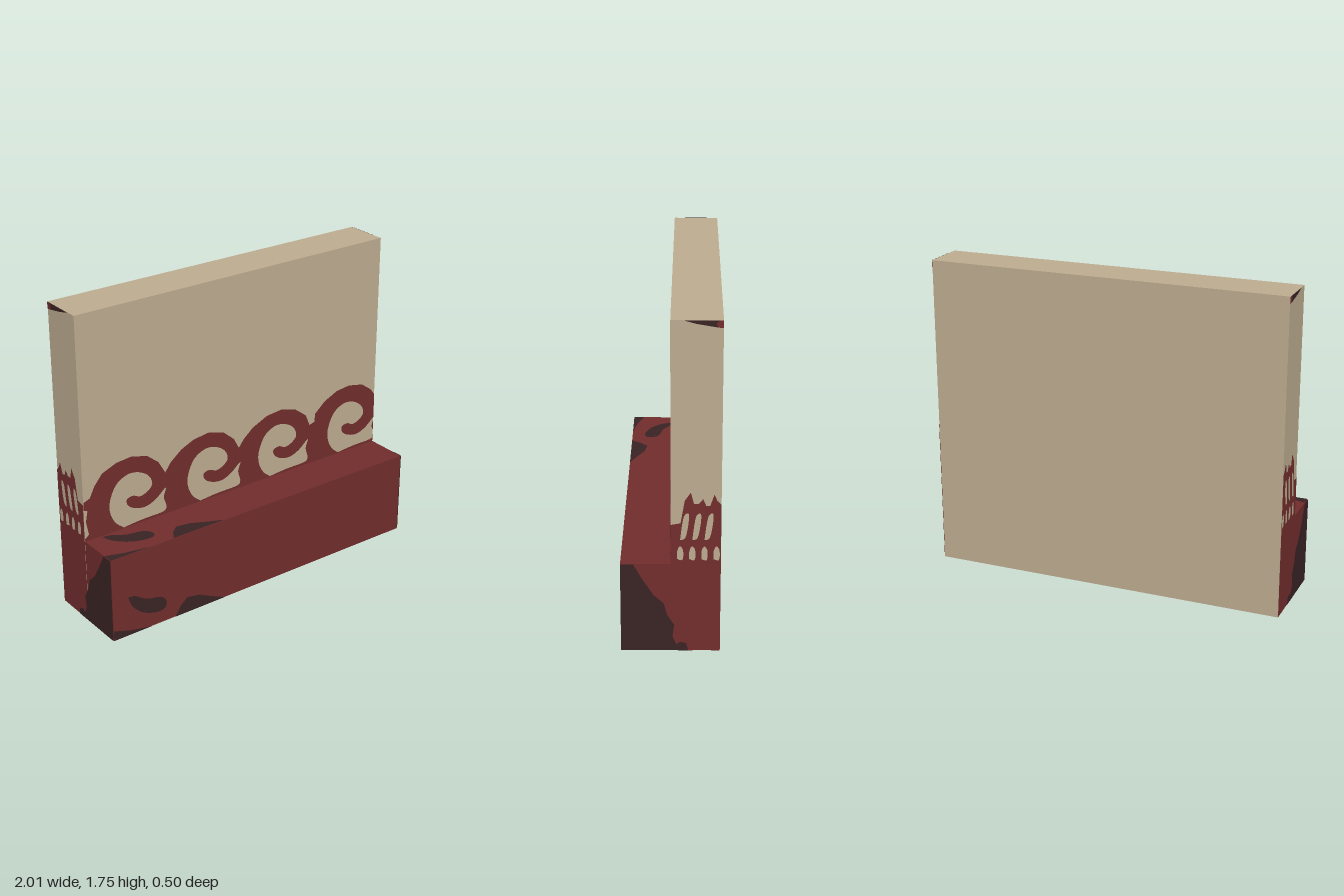
import * as THREE from 'three';

const V = (pts) => pts.map(([x, y]) => new THREE.Vector2(x, y));

// Smooth closed loop through a few points
function loop(pts, n = 60) {
  const p = V(pts);
  return new THREE.SplineCurve([...p, p[0]]).getPoints(n);
}

// Shape with straight-sided outline and optional hole outlines
function shapeOf(points, holes = []) {
  const s = new THREE.Shape(points);
  holes.forEach((h) => s.holes.push(new THREE.Path(h)));
  return new THREE.ShapeGeometry(s);
}

export function createModel() {
  const model = new THREE.Group();
  const paint = (name, color, side = THREE.FrontSide) => {
    const m = new THREE.MeshStandardMaterial({ color, side });
    m.name = name;
    return m;
  };
  const plaster = paint('beige plaster', 0xbdac90);
  const red = paint('red paint', 0x722d2d, THREE.DoubleSide);
  const dark = paint('dark stain', 0x3a2324, THREE.DoubleSide);

  const add = (name, geo, mat, x = 0, y = 0, z = 0) => {
    const mesh = new THREE.Mesh(geo, mat);
    mesh.name = name;
    mesh.position.set(x, y, z);
    model.add(mesh);
    return mesh;
  };

  // Wall slab and the ledge in front of it (ledge underside is plaster)
  add('wall', new THREE.BoxGeometry(2, 1.75, 0.25), plaster, 0, 0.875, -0.125);
  add('ledge', new THREE.BoxGeometry(2, 0.485, 0.25),
    [red, red, red, plaster, red, red], 0, 0.2425, 0.125);

  // Wave frieze: scalloped crest line with four curled openings
  const crest = [
    [1, 0], [1, 0.79], [0.97, 0.83], [0.9, 0.88], [0.8, 0.9], [0.71, 0.89], [0.62, 0.85], [0.55, 0.79], [0.545, 0.74],
    [0.51, 0.73], [0.48, 0.8], [0.4, 0.86], [0.3, 0.885], [0.2, 0.875], [0.1, 0.83], [0.04, 0.78],
    [0.005, 0.735], [-0.03, 0.8], [-0.1, 0.86], [-0.2, 0.888], [-0.3, 0.875], [-0.38, 0.84], [-0.45, 0.785],
    [-0.487, 0.735], [-0.53, 0.81], [-0.6, 0.868], [-0.7, 0.893], [-0.79, 0.885], [-0.88, 0.85], [-0.93, 0.79],
    [-0.96, 0.73], [-1, 0.715], [-1, 0.67], [-0.978, 0.66], [-0.99, 0.6], [-0.975, 0.52], [-1, 0.5], [-1, 0],
  ];
  const curl = [
    [-0.06, 0.49], [-0.11, 0.535], [-0.14, 0.6], [-0.14, 0.67], [-0.1, 0.755], [-0.03, 0.795], [0.04, 0.79],
    [0.105, 0.75], [0.128, 0.695], [0.1, 0.66], [0.05, 0.643], [0.005, 0.66], [-0.035, 0.65], [-0.03, 0.615],
    [0.01, 0.585], [0.08, 0.57], [0.15, 0.595], [0.215, 0.645], [0.2, 0.59], [0.215, 0.53], [0.19, 0.503], [0.06, 0.5],
  ];
  const curls = [-0.7, -0.2, 0.285, 0.79].map((cx) =>
    loop(curl.map(([x, y]) => [x + cx, y]), 110).map((p) => p.setX(Math.min(p.x, 0.998))));
  const waves = shapeOf(V(crest), curls);
  add('waveFrieze', waves, red, 0, 0, 0.002);

  // The same frieze squeezed along the underside of the wall
  const under = add('undersideFrieze', waves, red, 0, -0.002, 0);
  under.scale.y = 1 / 7;
  under.rotation.x = -Math.PI / 2;

  // Dark stains, repeated on the front and the top of the ledge
  const stains = [
    shapeOf(loop([[-0.905, 0.232], [-0.86, 0.225], [-0.79, 0.182], [-0.7, 0.16], [-0.665, 0.12], [-0.68, 0.08],
      [-0.74, 0.078], [-0.82, 0.11], [-0.88, 0.17]])),
    shapeOf(V([[-0.61, 0], [-0.575, 0.055], [-0.53, 0.093], [-0.45, 0.08], [-0.38, 0.045], [-0.28, 0]])),
    shapeOf(V([[-1, 0], [-1, 0.06], [-0.9, 0.027], [-0.76, 0]])),
  ];
  stains.forEach((geo) => {
    add('frontStain', geo, dark, 0, 0, 0.252);
    add('ledgeTopStain', geo, dark, 0, 0.487, 0.25).rotation.x = -Math.PI / 2;
  });

  // Side paint, drawn with the horizontal axis running from front to back
  const comb = V([[0, 0], [0.25, 0], [0.25, 0.81], [0.23, 0.83], [0.215, 0.865], [0.195, 0.805], [0.175, 0.805],
    [0.16, 0.84], [0.14, 0.815], [0.115, 0.815], [0.1, 0.875], [0.07, 0.83], [0.05, 0.71], [0, 0.7]]);
  const gaps = [];
  for (let i = 0; i < 4; i++) {
    const u = 0.048 + i * 0.06;
    gaps.push(loop([[u - 0.015, 0.515], [u + 0.012, 0.51], [u + 0.015, 0.56], [u, 0.585], [u - 0.014, 0.56]], 20));
    if (i < 3) {
      gaps.push(loop([[u, 0.62], [u + 0.025, 0.63], [u + 0.04, 0.7], [u + 0.042, 0.76],
        [u + 0.02, 0.75], [u + 0.008, 0.69]], 24));
    }
  }
  const sidePaint = shapeOf(comb, gaps);
  const sideStain = shapeOf(V([[-0.25, 0], [0.09, 0], [0.08, 0.04], [0.05, 0.05], [0.03, 0.035], [0.01, 0.08],
    [0.02, 0.145], [-0.015, 0.2], [-0.035, 0.27], [-0.085, 0.315], [-0.145, 0.41], [-0.185, 0.485], [-0.25, 0.485]]));
  const cornerStain = shapeOf(V([[0.06, 1.75], [0.12, 1.733], [0.225, 1.715], [0.215, 1.735], [0.235, 1.75]]));
  const cornerPaint = shapeOf(V([[0.235, 1.75], [0.215, 1.735], [0.225, 1.715], [0.25, 1.712], [0.25, 1.75]]));
  for (const s of [1, -1]) {
    const side = s > 0 ? 'left' : 'right';
    [['SideFrieze', sidePaint, red, 1.002], ['SideStain', sideStain, dark, 1.004],
      ['CornerStain', cornerStain, dark, 1.002], ['CornerPaint', cornerPaint, red, 1.002]]
      .forEach(([name, geo, mat, x]) => {
        add(side + name, geo, mat, s * x).rotation.y = Math.PI / 2;
      });
  }
  return model;
}
